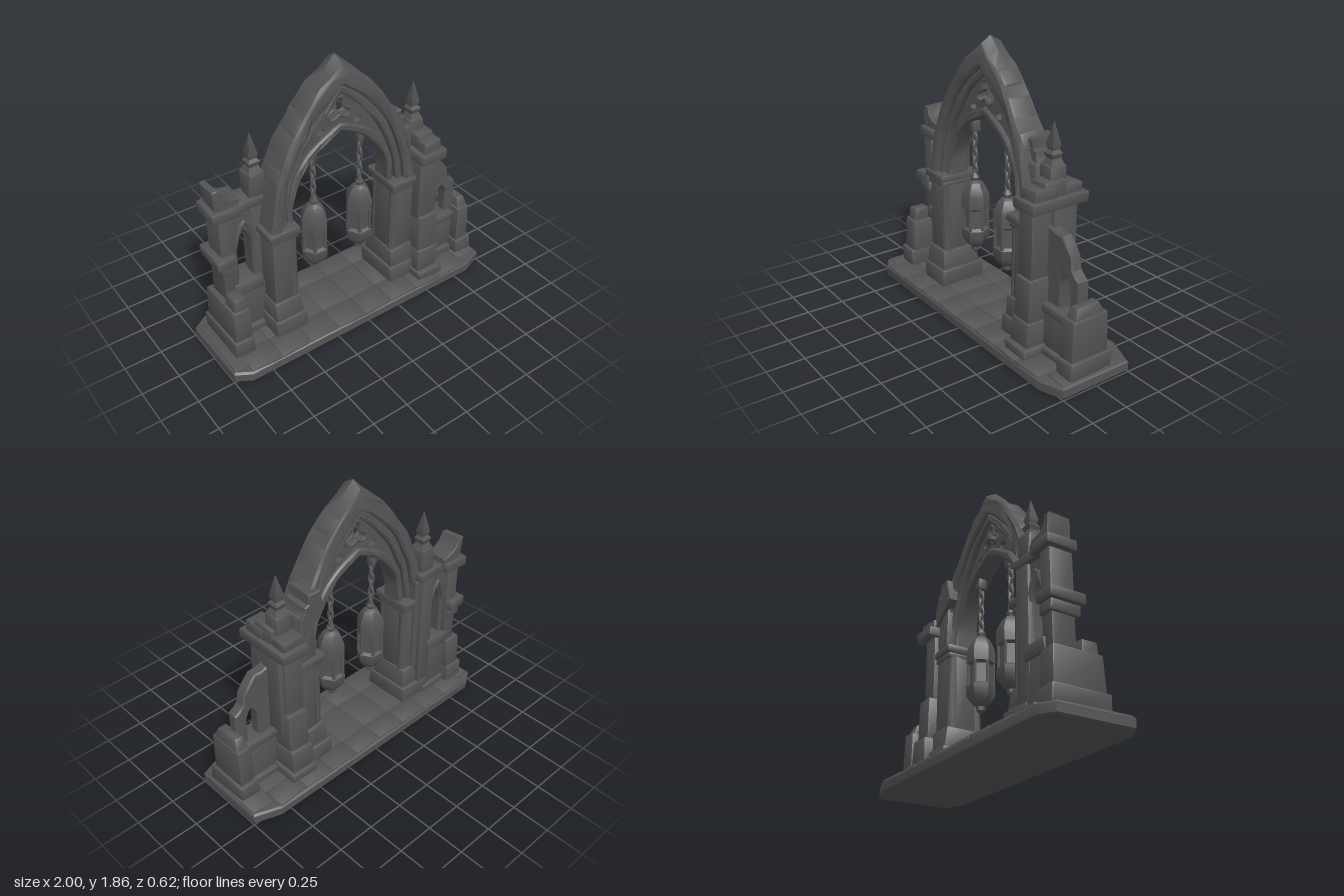
import * as THREE from 'three';
import { toCreasedNormals } from 'three/addons/utils/BufferGeometryUtils.js';
import { RoundedBoxGeometry } from 'three/addons/geometries/RoundedBoxGeometry.js';

const CX = -0.055; // arch centre line

export function createModel() {
  const root = new THREE.Group();
  root.name = 'ruinedArch';
  const stone = new THREE.MeshStandardMaterial({ color: 0x545454 });
  stone.name = 'darkStone';

  const group = (name) => {
    const g = new THREE.Group();
    g.name = name;
    root.add(g);
    return g;
  };

  // gentle weathering that moves coincident vertices alike
  function weather(geo, a) {
    const p = geo.attributes.position;
    for (let i = 0; i < p.count; i++) {
      const x = p.getX(i), y = p.getY(i), z = p.getZ(i);
      p.setXYZ(i, x + a * Math.sin(23 * y + 31 * z), y + a * 0.5 * Math.sin(29 * x + 17 * z), z + a * Math.sin(19 * x + 27 * y));
    }
    return geo;
  }
  function add(parent, name, geo, rough = 0.004) {
    const m = new THREE.Mesh(toCreasedNormals(weather(geo, rough), 0.6), stone);
    m.name = name;
    parent.add(m);
    return m;
  }

  // bevelled block from its limits; taper narrows the top
  function block(parent, name, x0, x1, y0, y1, z0, z1, taper = 1, r = 0.012) {
    const w = x1 - x0, h = y1 - y0, d = z1 - z0;
    const g = new RoundedBoxGeometry(w, h, d, 1, Math.min(r, w / 3, h / 3, d / 3));
    const p = g.attributes.position;
    for (let i = 0; i < p.count; i++) {
      const k = 1 + (taper - 1) * (p.getY(i) / h + 0.5);
      p.setX(i, p.getX(i) * k);
      p.setZ(i, p.getZ(i) * k);
    }
    return add(parent, name, g.translate((x0 + x1) / 2, (y0 + y1) / 2, (z0 + z1) / 2));
  }

  const shapeOf = (pts) => new THREE.Shape(pts.map(([x, y]) => new THREE.Vector2(x, y)));
  // plate in the xy plane between two depths
  function plateGeo(shape, z0, z1, bevel = 0.01) {
    return new THREE.ExtrudeGeometry(shape, {
      depth: z1 - z0 - 2 * bevel, steps: 2, bevelEnabled: bevel > 0, bevelSize: bevel, bevelOffset: -bevel,
      bevelThickness: bevel, bevelSegments: 1, curveSegments: 10,
    }).translate(0, 0, z0 + bevel);
  }

  // ---- paved base
  const base = group('base');
  const outline = shapeOf([[-1, -0.25], [-0.9, -0.31], [0.83, -0.31], [1, -0.25], [1, 0.25], [0.85, 0.31], [-0.9, 0.31], [-1, 0.25]]);
  add(base, 'slab', plateGeo(outline, -0.076, 0, 0.012).rotateX(Math.PI / 2), 0.002);
  for (let i = 0; i < 8; i++) {
    const x0 = -0.89 + i * 0.215;
    [[-0.303, -0.15], [-0.15, 0.12], [0.12, 0.303]].forEach(([a, b]) =>
      block(base, 'pavingStone', x0 + 0.001, x0 + 0.214, 0.04, 0.084, a + 0.001, b - 0.001, 1, 0.004));
  }
  for (const s of [-1, 1]) block(base, 'endPaving', s < 0 ? -0.985 : 0.83, s < 0 ? -0.89 : 0.985, 0.04, 0.084, -0.24, 0.24, 1, 0.004);

  // ---- pointed arch bands: half profiles given as offset from centre, height
  const OUTER = [[0.545, 0.86], [0.49, 1.14], [0.425, 1.33], [0.335, 1.48], [0.21, 1.65], [0, 1.865]];
  const MOULD = [[0.465, 0.86], [0.425, 1.1], [0.34, 1.32], [0.2, 1.52], [0, 1.69]];
  const RIB = [[0.42, 0.86], [0.385, 1.08], [0.3, 1.28], [0.17, 1.47], [0, 1.63]];
  const LOW = [[0.4, 0.86], [0.38, 1.06], [0.305, 1.22], [0.195, 1.33], [0, 1.43]];
  const OPEN = [[0.36, 0.86], [0.345, 1.03], [0.275, 1.17], [0.185, 1.27], [0, 1.375]];
  const curveOf = (pts) => new THREE.CatmullRomCurve3(pts.map(([x, y]) => new THREE.Vector3(x, y, 0)));
  function pointed(pts) {
    const half = curveOf(pts).getPoints(14).map((v) => [v.x, v.y]);
    return [...half.map(([x, y]) => [CX - x, y]), ...half.slice(0, -1).reverse().map(([x, y]) => [CX + x, y])];
  }
  const bandShape = (outer, inner) => shapeOf([...pointed(outer), ...pointed(inner).reverse()]);
  // depth shrinks toward the apex, whose edges are worn into a ridge
  const depthAt = (y) => 1 - 0.36 * THREE.MathUtils.clamp((y - 0.95) / 0.9, 0, 1);
  function narrow(geo) {
    const p = geo.attributes.position;
    for (let i = 0; i < p.count; i++) {
      const y = p.getY(i), z = p.getZ(i) * depthAt(y);
      p.setY(i, y - 0.6 * Math.abs(z) * THREE.MathUtils.smoothstep(y, 1.7, 1.84));
      p.setZ(i, z);
    }
    return geo;
  }
  const arch = group('arch');
  const band = (name, o, i, d, bevel) => add(arch, name, narrow(plateGeo(bandShape(o, i), -d, d, bevel)));
  band('outerArch', OUTER, MOULD, 0.122, 0.016);
  band('innerRib', MOULD, RIB, 0.088, 0.012);
  band('lowerArch', LOW, OPEN, 0.075, 0.012);

  // tracery with trefoil and two small eyes
  const tracery = bandShape(MOULD, OPEN.map(([x, y]) => [x + 0.012, y + 0.012]));
  const trefoil = [];
  for (let i = 0; i < 36; i++) {
    const a = (i / 36) * Math.PI * 2, r = 0.062 + 0.028 * Math.cos(3 * (a - Math.PI / 2));
    trefoil.push(new THREE.Vector2(CX + r * Math.cos(a), 1.512 + r * Math.sin(a)));
  }
  tracery.holes.push(new THREE.Path(trefoil));
  for (const s of [-1, 1]) {
    const eye = new THREE.Path();
    eye.absellipse(CX + s * 0.135, 1.402, 0.031, 0.024, 0, Math.PI * 2, false, 0);
    tracery.holes.push(eye);
  }
  add(arch, 'tracery', plateGeo(tracery, -0.035, 0.035, 0), 0.001);
  // raised rim around the trefoil
  const rim = new THREE.CatmullRomCurve3(trefoil.filter((_, i) => i % 2 === 0).map((v) => new THREE.Vector3(v.x, v.y, 0)), true);
  for (const z of [-0.035, 0.035]) add(arch, 'trefoilRim', new THREE.TubeGeometry(rim, 36, 0.01, 6, true).translate(0, 0, z), 0.001);

  // worn voussoirs, barely proud of the outer curve
  const outerCurve = curveOf(OUTER);
  for (const s of [-1, 1]) {
    (s < 0 ? [0.3, 0.5, 0.64, 0.78] : [0.4, 0.62, 0.8]).forEach((t, i) => {
      const p = outerCurve.getPoint(t), d = outerCurve.getTangent(t);
      const g = new RoundedBoxGeometry(0.07, 0.11 + 0.03 * (i % 2), 0.2 * depthAt(p.y), 1, 0.014);
      g.rotateZ(s * Math.atan2(-d.x, d.y)).translate(CX + s * (p.x - 0.027), p.y - 0.016, 0);
      add(arch, 'voussoir', g);
    });
  }

  // ---- arch piers, mirrored about the arch centre
  for (const s of [-1, 1]) {
    const pier = group(s < 0 ? 'rightPier' : 'leftPier');
    const b = (name, a, c, y0, y1, z0, z1, t) =>
      block(pier, name, Math.min(CX + s * a, CX + s * c), Math.max(CX + s * a, CX + s * c), y0, y1, z0, z1, t);
    b('plinth', 0.335, 0.57, 0.08, 0.2, -0.17, 0.16);
    b('plinthStep', 0.35, 0.56, 0.19, 0.33, -0.15, 0.145, 0.9);
    b('shaft', 0.4, 0.54, 0.3, 0.83, -0.115, 0.115);
    b('shaftCore', 0.37, 0.5, 0.3, 0.83, -0.08, 0.08);
    b('capital', 0.35, 0.565, 0.83, 0.88, -0.14, 0.14);
    b('capitalNeck', 0.365, 0.55, 0.795, 0.835, -0.125, 0.125);
    for (const z of [-0.085, 0.085])
      add(pier, 'colonnette', new THREE.CylinderGeometry(0.03, 0.033, 0.52, 10).translate(CX + s * 0.395, 0.56, z), 0.002);
  }

  // ---- pinnacle: square block and four-sided spire
  function pinnacle(parent, x, z, y0) {
    block(parent, 'pinnacleBlock', x - 0.054, x + 0.054, y0, 1.235, z - 0.058, z + 0.058);
    const prof = [[0, 1.22], [0.05, 1.235], [0.032, 1.27], [0.042, 1.3], [0.026, 1.32], [0.034, 1.35], [0, 1.49]];
    const g = new THREE.LatheGeometry(prof.map(([r, y]) => new THREE.Vector2(r * 1.3, y)), 4);
    add(parent, 'spire', g.rotateY(Math.PI / 4).translate(x, 0, z), 0.001);
  }

  // lancet window outline
  function lancet(x0, x1, y0, ys, y1) {
    const m = (x0 + x1) / 2, h = new THREE.Path();
    h.moveTo(x0, y0);
    h.lineTo(x1, y0);
    h.lineTo(x1, ys);
    h.quadraticCurveTo(x1 - 0.005, (ys + y1) / 2, m, y1);
    h.quadraticCurveTo(x0 + 0.005, (ys + y1) / 2, x0, ys);
    return h;
  }
  function windowWall(parent, pts, hole, z0, z1) {
    const s = shapeOf(pts);
    s.holes.push(hole);
    add(parent, 'windowWall', plateGeo(s, z0, z1, 0.01), 0.002);
  }

  // ---- tower and window at the -x end
  const tower = group('tower');
  windowWall(tower, [[-0.83, 0.08], [-0.5, 0.08], [-0.5, 1.02], [-0.83, 1.02]], lancet(-0.755, -0.655, 0.5, 0.76, 0.88), -0.14, -0.03);
  const hood = new THREE.CatmullRomCurve3([[-0.775, 0.78], [-0.75, 0.87], [-0.705, 0.945], [-0.66, 0.87], [-0.635, 0.78]].map(([x, y]) => new THREE.Vector3(x, y, 0)));
  for (const z of [-0.14, -0.03]) add(tower, 'windowHood', new THREE.TubeGeometry(hood, 12, 0.018, 6).translate(0, 0, z), 0.001);
  block(tower, 'lowerWall', -0.83, -0.58, 0.08, 0.44, -0.16, -0.01);
  block(tower, 'wallPlinth', -0.83, -0.58, 0.08, 0.13, -0.18, 0.02);
  block(tower, 'sill', -0.81, -0.61, 0.42, 0.505, -0.18, 0.015);
  block(tower, 'base', -0.93, -0.79, 0.08, 0.2, -0.22, 0.165);
  block(tower, 'lowerShaft', -0.915, -0.79, 0.19, 0.42, -0.205, 0.145, 0.95);
  block(tower, 'frontButtress', -0.895, -0.8, 0.38, 0.5, 0.0, 0.125, 0.85);
  block(tower, 'shaft', -0.875, -0.775, 0.38, 1.02, -0.17, -0.01);
  block(tower, 'ledge', -0.92, -0.785, 0.685, 0.755, -0.21, 0.03);
  block(tower, 'ledgeNeck', -0.895, -0.785, 0.62, 0.69, -0.19, 0.012);
  block(tower, 'cornice', -0.91, -0.72, 1.01, 1.08, -0.205, 0.0);
  block(tower, 'wallCoping', -0.75, -0.51, 1.015, 1.08, -0.17, -0.02);
  block(tower, 'pinnacleButtress', -0.645, -0.53, 0.08, 1.02, -0.165, -0.03);
  add(tower, 'brokenTop', plateGeo(shapeOf([[-0.875, 1.07], [-0.715, 1.07], [-0.715, 1.115], [-0.79, 1.135], [-0.83, 1.17], [-0.85, 1.22], [-0.89, 1.22], [-0.89, 1.17]]), -0.18, -0.03, 0.006));
  pinnacle(tower, -0.59, -0.09, 1.07);

  // ---- great buttress on the +x side
  const butt = group('buttress');
  block(butt, 'base', 0.455, 0.655, 0.08, 0.14, -0.225, 0.265);
  block(butt, 'lowerStep', 0.465, 0.635, 0.13, 0.3, -0.205, 0.23, 0.97);
  block(butt, 'lowerShaft', 0.475, 0.625, 0.28, 0.57, -0.175, 0.212, 0.97);
  block(butt, 'upperShaft', 0.48, 0.615, 0.54, 1.01, -0.14, 0.185);
  block(butt, 'sideMass', 0.56, 0.645, 0.42, 1.01, -0.12, 0.05);
  block(butt, 'cornice', 0.465, 0.665, 0.995, 1.065, -0.19, 0.22);
  block(butt, 'rearStub', 0.47, 0.63, 1.05, 1.12, -0.16, -0.03);
  block(butt, 'frontStub', 0.5, 0.64, 1.05, 1.13, 0.03, 0.19, 0.93);
  block(butt, 'topStone', 0.5, 0.635, 1.05, 1.16, -0.05, 0.12, 0.92);
  block(butt, 'spandrel', 0.36, 0.49, 0.88, 1.22, -0.12, 0.07);
  add(butt, 'brokenSpandrel', plateGeo(shapeOf([[0.3, 1.2], [0.485, 1.05], [0.485, 1.2], [0.455, 1.24], [0.45, 1.28], [0.42, 1.29], [0.415, 1.35], [0.33, 1.35]]), -0.14, 0.04, 0.006));
  pinnacle(butt, 0.545, -0.01, 1.06);

  // ---- ruined window wall and end pier
  const ruin = group('ruinedWall');
  windowWall(ruin, [[0.6, 0.08], [0.9, 0.08], [0.895, 0.64], [0.865, 0.66], [0.835, 0.69], [0.82, 0.77], [0.78, 0.82], [0.735, 0.87], [0.68, 0.87], [0.6, 0.9]],
    lancet(0.735, 0.815, 0.4, 0.56, 0.64), -0.005, 0.07);
  block(ruin, 'lowerWall', 0.6, 0.88, 0.08, 0.37, -0.04, 0.1);
  block(ruin, 'wallPlinth', 0.62, 0.88, 0.08, 0.13, -0.07, 0.13);
  block(ruin, 'sill', 0.61, 0.865, 0.35, 0.41, -0.045, 0.115);
  block(ruin, 'endBase', 0.845, 0.985, 0.08, 0.19, -0.125, 0.185);
  block(ruin, 'endShaft', 0.855, 0.965, 0.18, 0.45, -0.1, 0.17, 0.95);
  block(ruin, 'endTop', 0.87, 0.958, 0.43, 0.515, -0.08, 0.155, 0.7);

  // ---- hanging lanterns
  for (const x of [-0.225, 0.125]) {
    const lamp = group('lantern');
    const prof = [[0, 0.37], [0.028, 0.395], [0.03, 0.42], [0.05, 0.435], [0.088, 0.485], [0.092, 0.55], [0.072, 0.565], [0.072, 0.69],
      [0.09, 0.705], [0.09, 0.79], [0.075, 0.83], [0.05, 0.875], [0.024, 0.89], [0.03, 0.91], [0.014, 0.94], [0, 0.945]];
    const body = new THREE.LatheGeometry(prof.map(([r, y]) => new THREE.Vector2(r, y)), 6);
    add(lamp, 'body', body.rotateY(Math.PI / 6).translate(x, 0, 0), 0.001);
    for (let i = 0; i < 6; i++) {
      const a = (i * Math.PI) / 3;
      add(lamp, 'post', new THREE.CylinderGeometry(0.011, 0.011, 0.16, 6).translate(x + 0.077 * Math.cos(a), 0.63, 0.077 * Math.sin(a)), 0);
    }
    // chain of alternating links up to the lower arch
    for (let i = 0; i < 6; i++) {
      const link = new THREE.TorusGeometry(0.015, 0.009, 6, 10).scale(1, 2.1, 1);
      add(lamp, 'chainLink', link.rotateY((i % 2) * Math.PI / 2 + 0.4).translate(x, 0.955 + i * 0.053, 0), 0);
    }
    block(lamp, 'hanger', x - 0.025, x + 0.025, 1.22, 1.3, -0.03, 0.03);
  }
  return root;
}
